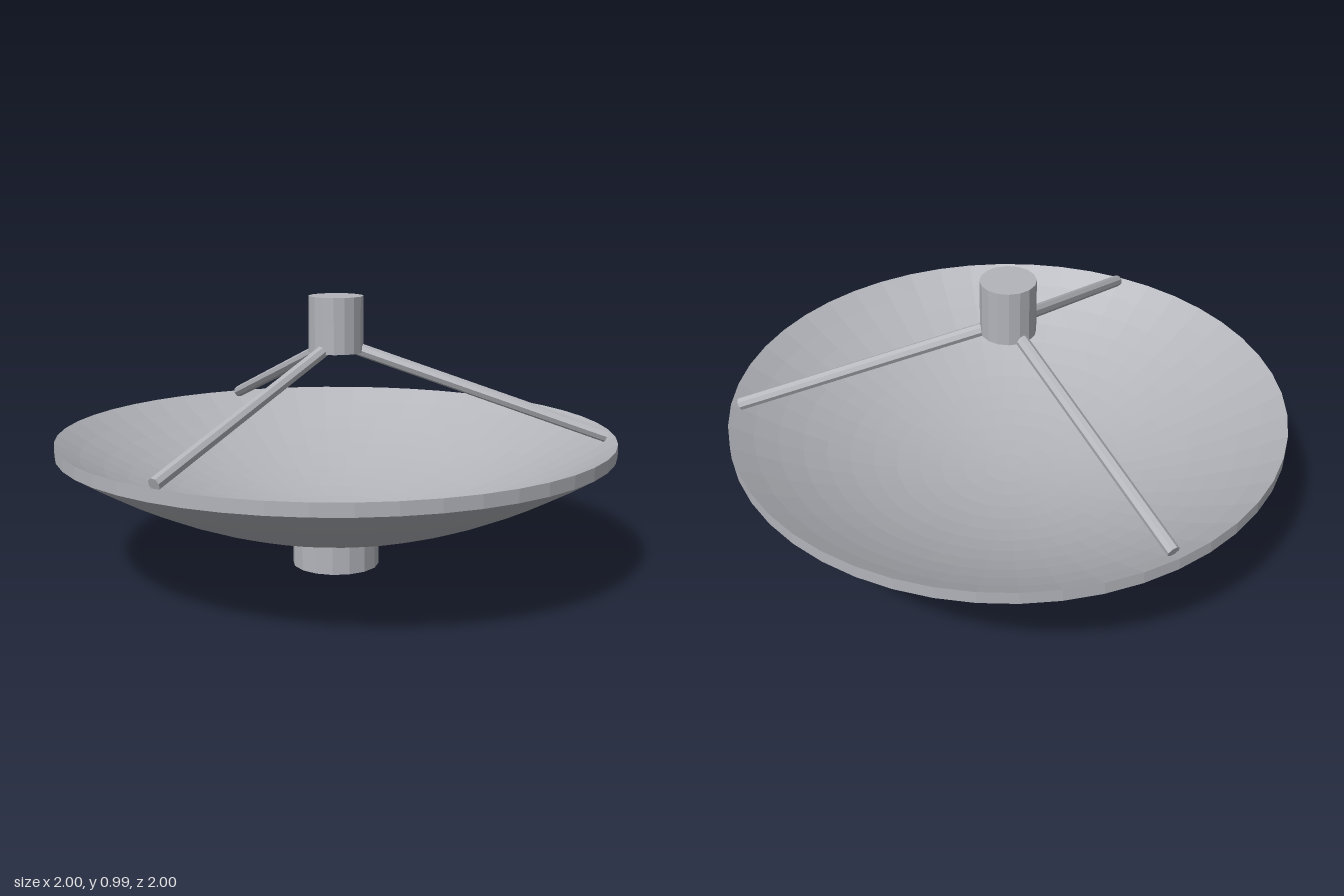
import * as THREE from 'three';

export function createModel() {
  const model = new THREE.Group();
  model.name = 'dishAntenna';
  const grey = new THREE.MeshStandardMaterial({ color: 0xb2b4ba, flatShading: true });
  grey.name = 'light grey';

  function add(name, geometry) {
    const mesh = new THREE.Mesh(geometry, grey);
    mesh.name = name;
    model.add(mesh);
    return mesh;
  }

  // Parabolic bowl: underside from centre to rim, then inside back to centre
  const rings = 12, thickness = 0.045;
  const outer = [], inner = [];
  for (let i = 0; i <= rings; i++) {
    const r = i / rings;
    const y = 0.125 + 0.32 * r * r;
    outer.push(new THREE.Vector2(r, y));
    inner.unshift(new THREE.Vector2(r, y + thickness));
  }
  add('dish', new THREE.LatheGeometry([...outer, ...inner], 48));

  // Mounting hub under the bowl
  add('mountHub', new THREE.CylinderGeometry(0.158, 0.158, 0.14, 16)).position.y = 0.07;

  // Receiver at the focus
  add('receiver', new THREE.CylinderGeometry(0.098, 0.098, 0.2, 16)).position.y = 0.885;

  // Three struts from the rim up to the receiver
  const up = new THREE.Vector3(0, 1, 0);
  for (let i = 0; i < 3; i++) {
    const a = (i * Math.PI * 2) / 3;
    const at = (r, y) => new THREE.Vector3(r * Math.cos(a), y, r * Math.sin(a));
    const foot = at(0.967, 0.492), head = at(0.03, 0.812);
    const span = head.clone().sub(foot);
    const strut = add('strut' + (i + 1), new THREE.CylinderGeometry(0.023, 0.023, span.length(), 8));
    strut.position.copy(foot).add(head).multiplyScalar(0.5);
    strut.quaternion.setFromUnitVectors(up, span.normalize());
  }
  return model;
}
